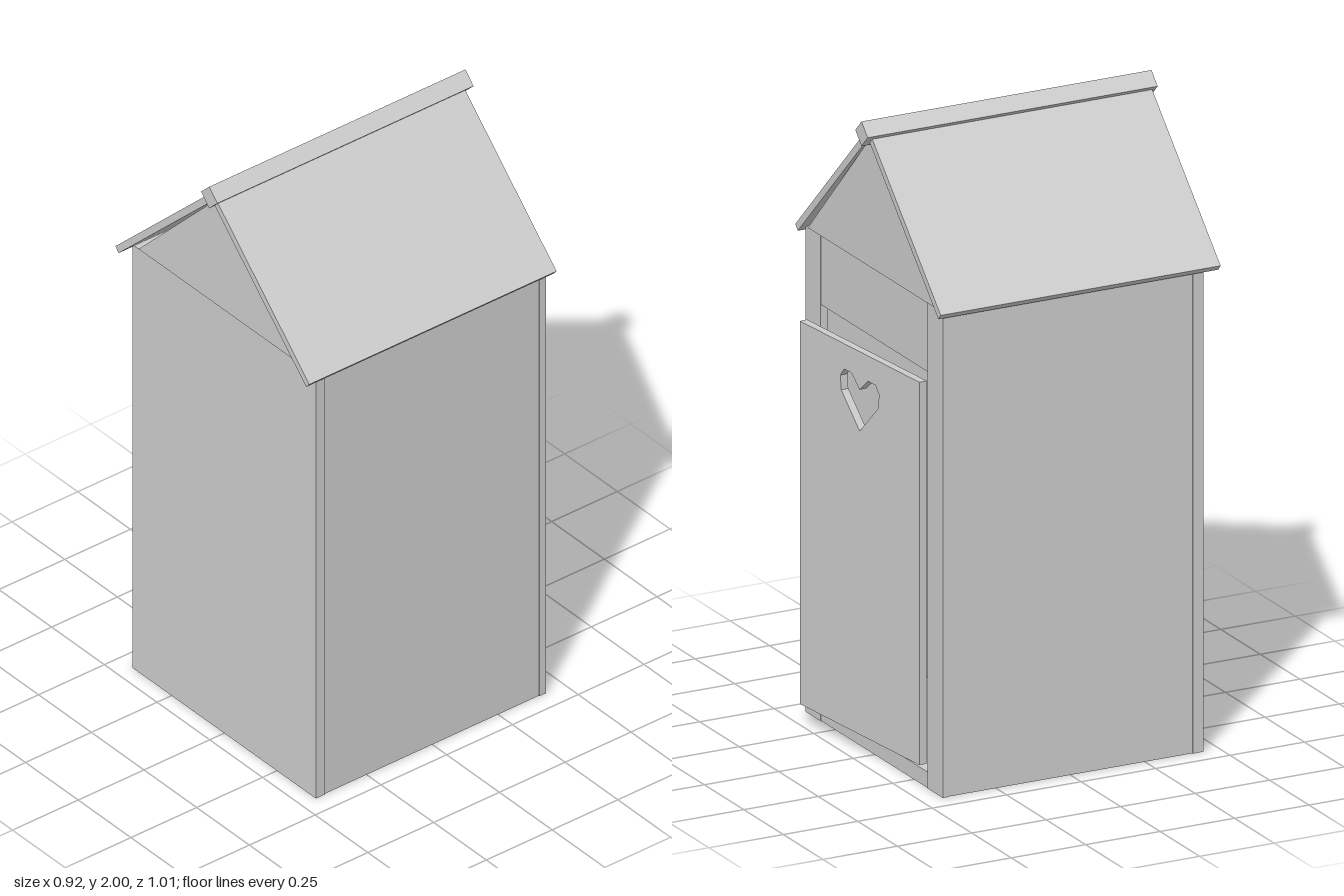
import * as THREE from 'three';

export function createModel() {
  const model = new THREE.Group();
  const mat = new THREE.MeshStandardMaterial({ color: 0xcccccc, flatShading: true, side: THREE.DoubleSide });

  const add = (name, geometry, parent = model) => {
    const mesh = new THREE.Mesh(geometry, mat);
    mesh.name = name;
    parent.add(mesh);
    return mesh;
  };
  // Box given by its extents on each axis
  const box = (name, [x0, x1], [y0, y1], [z0, z1]) => {
    const mesh = add(name, new THREE.BoxGeometry(x1 - x0, y1 - y0, z1 - z0));
    mesh.position.set((x0 + x1) / 2, (y0 + y1) / 2, (z0 + z1) / 2);
    return mesh;
  };
  const outline = (points) => new THREE.Shape(points.map(([x, y]) => new THREE.Vector2(x, y)));
  // Outline in x and y, extruded from z0 to z1
  const slab = (name, points, z0, z1) => {
    const geometry = new THREE.ExtrudeGeometry(outline(points), { depth: z1 - z0, bevelEnabled: false });
    geometry.translate(0, 0, z0);
    return add(name, geometry);
  };

  // Walls, floor and the doorway surround
  const top = 1.53;
  box('frontWall', [-0.435, 0.435], [0, top], [0.41, 0.445]);
  box('floor', [-0.41, 0.41], [0.03, 0.05], [-0.405, 0.31]);
  box('lintel', [-0.34, 0.34], [1.31, top], [-0.428, -0.405]);
  box('sill', [-0.34, 0.34], [0, 0.05], [-0.428, -0.405]);
  for (const s of [-1, 1]) {
    const side = s < 0 ? 'right' : 'left';
    const span = (a, b) => (s < 0 ? [-b, -a] : [a, b]);
    box(side + 'Wall', span(0.41, 0.432), [0, top], [-0.405, 0.41]);
    box(side + 'DoorPost', span(0.34, 0.435), [0, top], [-0.43, -0.405]);

    // Roof panel, sloping down from the ridge
    slab(side + 'RoofPanel', [[0, 1.975], [s * 0.46, 1.53], [s * 0.445, 1.513], [0, 1.943]], -0.45, 0.49);
  }

  // Gables
  const gable = [[-0.4, 1.535], [0.4, 1.535], [0, 1.945]];
  slab('frontGable', gable, 0.425, 0.45);
  slab('backGable', gable, -0.44, -0.415);

  // Ridge beam, a square bar set on its corner
  const ridge = box('ridgeBeam', [-0.0275, 0.0275], [1.9335, 1.9885], [-0.472, 0.502]);
  ridge.position.y = 1.961;
  ridge.rotation.z = Math.PI / 4;

  // Door, slightly ajar, with a heart-shaped opening
  const hinge = new THREE.Group();
  hinge.name = 'door';
  hinge.position.set(-0.32, 0.07, -0.447);
  hinge.rotation.y = 0.09;
  const doorShape = outline([[0, 0], [0.65, 0], [0.65, 1.205], [0, 1.205]]);
  const half = [[0.1, 0.015], [0.105, 0.06], [0.085, 0.085], [0.045, 0.085]];
  const heart = [[0, -0.085], ...half, [0, 0.045], ...half.map(([x, y]) => [-x, y]).reverse()];
  doorShape.holes.push(new THREE.Path(heart.map(([x, y]) => new THREE.Vector2(x + 0.325, y + 1.04))));
  add('doorPanel', new THREE.ExtrudeGeometry(doorShape, { depth: 0.025, bevelEnabled: false }), hinge);
  model.add(hinge);

  return model;
}
